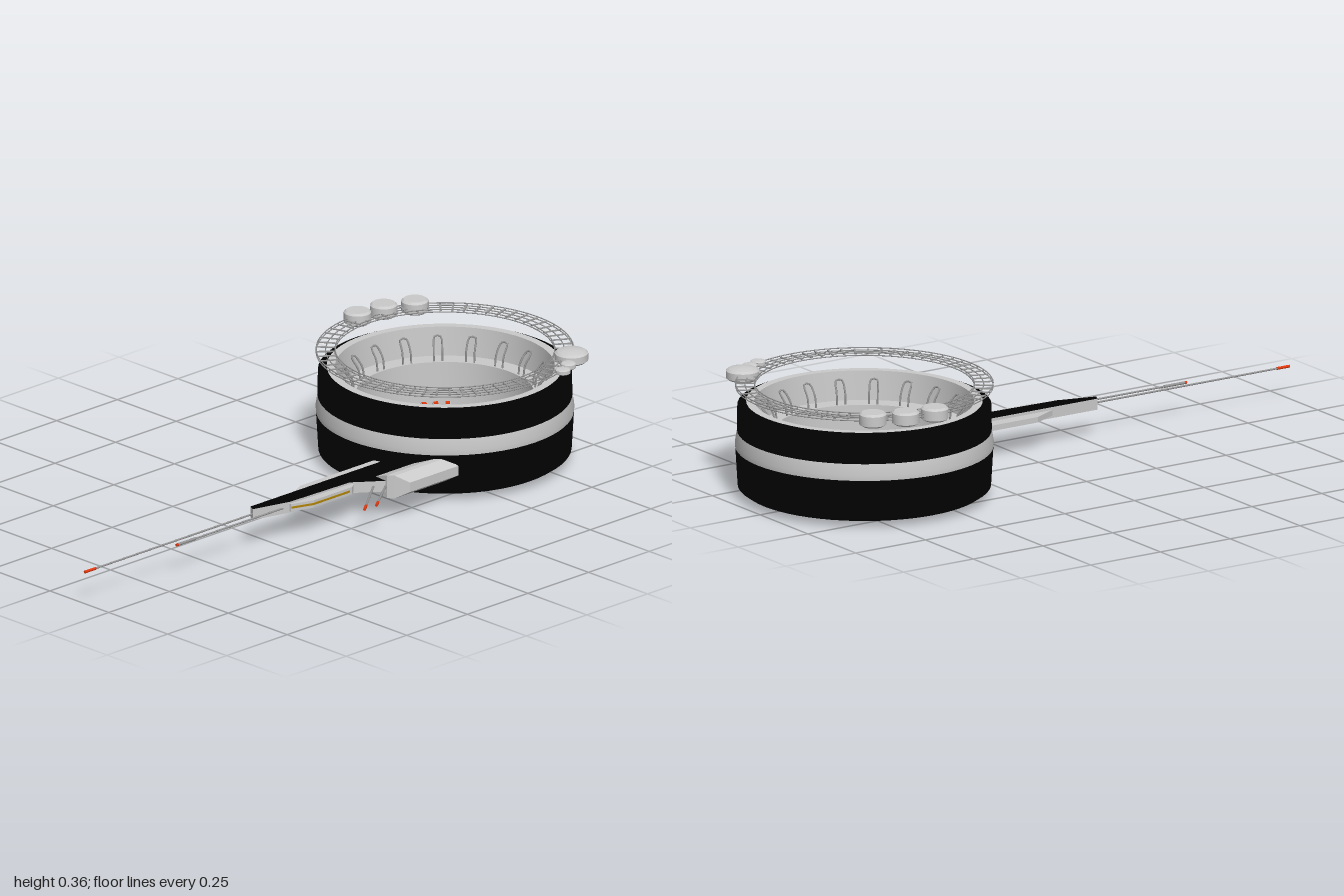
import * as THREE from 'three';
import { toCreasedNormals } from 'three/addons/utils/BufferGeometryUtils.js';
import { ConvexGeometry } from 'three/addons/geometries/ConvexGeometry.js';

const material = (name, color) => {
  const m = new THREE.MeshStandardMaterial({ color });
  m.name = name;
  return m;
};

export function createModel() {
  const black = material('black hull', 0x010101);
  const light = material('light grey', 0xcacaca);
  const truss = material('truss grey', 0x969696);
  const red = material('signal red', 0xff4010);
  const yellow = material('yellow trim', 0xb08408);

  const model = new THREE.Group();
  const station = new THREE.Group();
  station.name = 'ringStation';
  station.position.set(0.013, 0, -0.617);
  model.add(station);

  const add = (parent, name, geometry, mat, x = 0, y = 0, z = 0) => {
    const mesh = new THREE.Mesh(geometry, mat);
    mesh.name = name;
    mesh.position.set(x, y, z);
    parent.add(mesh);
    return mesh;
  };
  const revolve = (points, segments) => toCreasedNormals(
    new THREE.LatheGeometry(points.map(p => new THREE.Vector2(...p)), segments), 0.4);
  const lathe = (name, mat, points) => add(station, name, revolve(points, 64), mat);

  // Drum: outer skin from bottom to top, then the stepped open well
  lathe('underside', light, [[0, 0.04], [0.225, 0.04], [0.24, 0.002], [0.25, 0.002], [0.255, 0.007], [0.315, 0.01], [0.358, 0.02]]);
  lathe('lowerHull', black, [[0.358, 0.02], [0.375, 0.032], [0.382, 0.15]]);
  lathe('hullBand', light, [[0.382, 0.15], [0.383, 0.165], [0.377, 0.2]]);
  lathe('upperHull', black, [[0.377, 0.2], [0.376, 0.277], [0.35, 0.289]]);
  lathe('rimAndWell', light, [[0.35, 0.289], [0.325, 0.289], [0.318, 0.2], [0.265, 0.2], [0.262, 0.065], [0.23, 0.065], [0.23, 0.055], [0, 0.055]]);

  // Docking clamps standing on the upper ledge
  const clampCurve = new THREE.CatmullRomCurve3([
    [-0.013, 0.2, 0.272], [-0.013, 0.235, 0.278], [-0.009, 0.268, 0.302],
    [0.009, 0.268, 0.302], [0.013, 0.235, 0.278], [0.013, 0.2, 0.272],
  ].map(p => new THREE.Vector3(...p)));
  const clampGeo = new THREE.TubeGeometry(clampCurve, 16, 0.003, 5);
  for (let i = 0; i < 18; i++) {
    add(station, 'dockingClamp', clampGeo, truss).rotation.y = (i + 0.5) * Math.PI / 9;
  }

  // Lamp clusters on the lower ledge, each lamp on a grey mount
  const lampGeo = new THREE.BoxGeometry(0.013, 0.005, 0.015);
  const mountGeo = new THREE.BoxGeometry(0.017, 0.012, 0.024);
  for (let i = 0; i < 6; i++) {
    for (let j = -2; j <= 2; j++) {
      const a = i * Math.PI / 3 + j * 0.14;
      const x = 0.248 * Math.sin(a), z = 0.248 * Math.cos(a);
      add(station, 'lampMount', mountGeo, light, x, 0.07, z).rotation.y = a;
      add(station, 'lamp', lampGeo, red, x, 0.077, z).rotation.y = a;
    }
  }

  // Floating truss ring: rails and rungs
  for (const [r, y] of [[0.381, 0.335], [0.381, 0.343], [0.353, 0.339], [0.325, 0.335], [0.325, 0.343]]) {
    add(station, 'trussRail', new THREE.TorusGeometry(r, 0.0018, 5, 96), truss, 0, y).rotation.x = Math.PI / 2;
  }
  const rungGeo = new THREE.BoxGeometry(0.006, 0.003, 0.056);
  for (let i = 0; i < 60; i++) {
    const a = i * Math.PI / 30;
    add(station, 'trussRung', rungGeo, truss, 0.353 * Math.sin(a), 0.339, 0.353 * Math.cos(a)).rotation.y = a;
  }

  // Habitat pods on the ring: bevelled drums on one side, domed on the other
  const drumPod = revolve([[0, -0.021], [0.032, -0.021], [0.041, -0.015], [0.041, 0.015], [0.034, 0.021], [0, 0.021]], 24);
  for (const [x, z] of [[-0.313, -0.81], [-0.353, -0.72], [-0.364, -0.623]]) {
    add(model, 'drumPod', drumPod, light, x, 0.34, z);
  }
  for (const [x, z, r, h] of [[0.31, -0.85, 0.05, 0.024], [0.359, -0.79, 0.023, 0.013], [0.382, -0.745, 0.023, 0.011]]) {
    const domed = revolve([[0, -h], [r * 0.5, -h * 0.9], [r * 0.85, -h * 0.7], [r, -h * 0.45],
      [r, h * 0.45], [r * 0.85, h * 0.7], [r * 0.5, h * 0.9], [0, h]], 24);
    add(model, 'domedPod', domed, light, x, 0.339, z);
  }

  // Outrigger plates, drawn as x,z outlines and raised from y0 to y1
  const outrigger = new THREE.Group();
  outrigger.name = 'outrigger';
  outrigger.position.x = 0.002;
  model.add(outrigger);
  const plate = (name, outline, y0, y1, mats) => {
    const shape = new THREE.Shape(outline.map(([x, z]) => new THREE.Vector2(x, -z)));
    const geo = new THREE.ExtrudeGeometry(shape, { depth: y1 - y0, bevelEnabled: false });
    return add(outrigger, name, geo.rotateX(-Math.PI / 2), mats, 0, y0);
  };
  plate('spine', [[0.13, -0.32], [0.2, -0.32], [0.258, -0.14], [0.19, -0.05], [0.182, 0.19], [0.15, 0.31], [0.129, 0.3]],
    0.085, 0.119, [black, light]);
  plate('outerFin', [[0.091, -0.3], [0.14, -0.3], [0.14, 0.14], [0.13, 0.14], [0.091, 0.06]], 0.093, 0.11, light);
  plate('innerFin', [[0.16, -0.08], [0.19, -0.07], [0.211, -0.04], [0.211, 0.12], [0.187, 0.19], [0.16, 0.19]], 0.09, 0.113, light);
  plate('yellowTrim', [[0.2, -0.03], [0.213, -0.03], [0.213, 0.121], [0.19, 0.188], [0.18, 0.188]], 0.099, 0.105, yellow);

  // Faceted pod beside the spine
  const podPoints = [];
  for (const s of [-1, 1]) {
    for (const [x, h, z] of [
      [0.21, 0.018, -0.38], [0.21, 0.018, -0.14], [0.26, 0.036, -0.36], [0.26, 0.036, -0.135],
      [0.279, 0.036, -0.36], [0.279, 0.036, -0.15], [0.312, 0.015, -0.38], [0.312, 0.015, -0.18],
    ]) podPoints.push(new THREE.Vector3(x, 0.102 + s * h, z));
  }
  add(outrigger, 'facetedPod', new ConvexGeometry(podPoints), light);

  // Antennas with red tips
  const rod = (name, from, to, radius, mat) => {
    const a = new THREE.Vector3(...from), b = new THREE.Vector3(...to);
    const d = b.clone().sub(a);
    const mesh = add(outrigger, name, new THREE.CylinderGeometry(radius, radius, d.length(), 8), mat);
    mesh.position.copy(a).addScaledVector(d, 0.5);
    mesh.quaternion.setFromUnitVectors(new THREE.Vector3(0, 1, 0), d.normalize());
  };
  const y = 0.102;
  rod('longAntenna', [0.146, y, 0.3], [0.146, y, 0.955], 0.003, truss);
  rod('longAntennaTip', [0.146, y, 0.955], [0.146, y, 1], 0.0045, red);
  rod('shortAntenna', [0.174, y, 0.18], [0.174, y, 0.57], 0.003, truss);
  rod('shortAntennaEnd', [0.174, y, 0.57], [0.174, y, 0.643], 0.0045, truss);
  rod('shortAntennaTip', [0.174, y, 0.643], [0.174, y, 0.65], 0.0045, red);
  for (const [x0, z0, x1, z1] of [[0.24, -0.155, 0.35, -0.005], [0.21, -0.135, 0.35, 0.044]]) {
    const xm = x0 + (x1 - x0) * 0.86, zm = z0 + (z1 - z0) * 0.86;
    rod('sideAntenna', [x0, y, z0], [xm, y, zm], 0.0035, truss);
    rod('sideAntennaTip', [xm, y, zm], [x1, y, z1], 0.0045, red);
  }
  return model;
}
